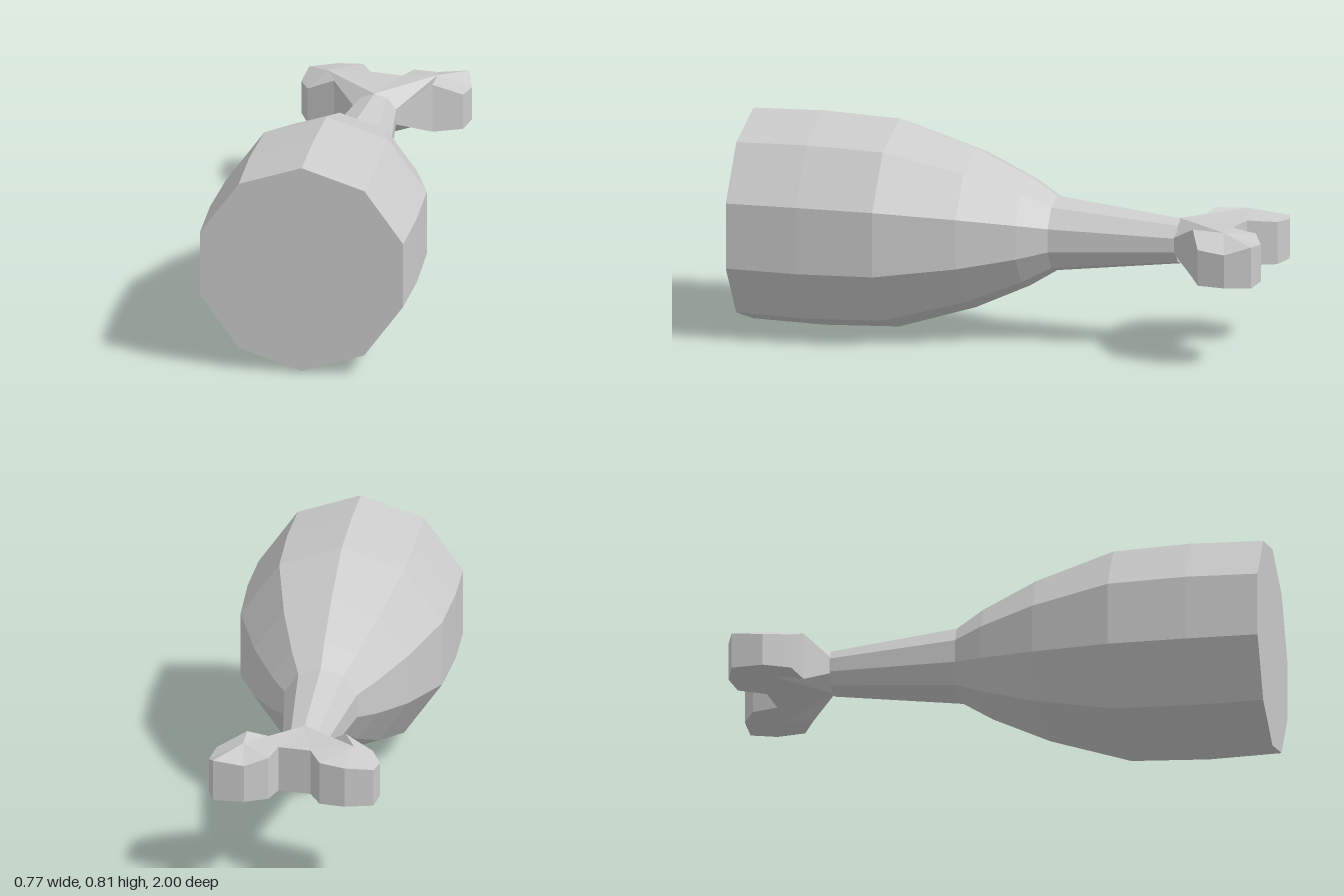
import * as THREE from 'three';

const material = new THREE.MeshStandardMaterial({ color: 0xcccccc, flatShading: true });

// Ten-sided meat and shank, turned around the z axis
function makeMeat() {
  const profile = [
    [0, -0.64], [0.085, -0.64], [0.142, -0.165], [0.207, -0.06], [0.302, 0.145],
    [0.395, 0.44], [0.407, 0.73], [0.4, 1], [0, 1],
  ].map(([r, z]) => new THREE.Vector2(r, z));
  const geometry = new THREE.LatheGeometry(profile, 10);
  geometry.rotateX(Math.PI / 2);
  geometry.translate(0, 0.41, 0);
  const mesh = new THREE.Mesh(geometry, material);
  mesh.name = 'meatAndShank';
  return mesh;
}

// Two-lobed bone end: a rim with vertical walls, raised tops and a flat underside
function makeKnuckle() {
  // Each rim point: x, z, top y, bottom y
  const root = [0, -0.635, 0.497, 0.328];
  const right = [
    [0.082, -0.635, 0.44, 0.38], [0.2, -0.74, 0.505, 0.32], [0.307, -0.788, 0.455, 0.32],
    [0.323, -0.894, 0.445, 0.32], [0.296, -0.99, 0.475, 0.32], [0.18, -0.995, 0.46, 0.32],
    [0.095, -0.952, 0.48, 0.32], [0.069, -0.857, 0.49, 0.32],
  ];
  const left = [
    [-0.053, -0.878, 0.49, 0.32], [-0.1, -0.98, 0.48, 0.32], [-0.196, -1, 0.47, 0.32],
    [-0.3, -0.974, 0.46, 0.32], [-0.31, -0.857, 0.445, 0.32], [-0.27, -0.757, 0.455, 0.32],
    [-0.165, -0.725, 0.505, 0.32], [-0.075, -0.635, 0.44, 0.38],
  ];
  const positions = [];
  const top = (p) => [p[0], p[2], p[1]];
  const bottom = (p) => [p[0], p[3], p[1]];
  const tri = (a, b, c) => positions.push(...a, ...b, ...c);
  const caps = (a, b, c) => {
    tri(top(a), top(b), top(c));
    tri(bottom(a), bottom(c), bottom(b));
  };

  // Walls around the whole rim
  const rim = [root, ...right, ...left];
  rim.forEach((p, i) => {
    const q = rim[(i + 1) % rim.length];
    tri(bottom(p), bottom(q), top(q));
    tri(bottom(p), top(q), top(p));
  });

  // Each lobe fans out from its peak
  const lobes = [
    { peak: [0.2, -0.857, 0.5, 0.32], loop: [root, ...right] },
    { peak: [-0.21, -0.84, 0.5, 0.32], loop: [...left, root] },
  ];
  for (const { peak, loop } of lobes) {
    loop.forEach((p, i) => caps(peak, p, loop[(i + 1) % loop.length]));
  }

  // Bridge between the lobes
  caps(root, right[right.length - 1], left[0]);

  const geometry = new THREE.BufferGeometry();
  geometry.setAttribute('position', new THREE.Float32BufferAttribute(positions, 3));
  geometry.computeVertexNormals();
  const mesh = new THREE.Mesh(geometry, material);
  mesh.name = 'boneKnuckle';
  return mesh;
}

export function createModel() {
  const group = new THREE.Group();
  group.name = 'drumstick';
  group.add(makeMeat(), makeKnuckle());
  return group;
}
